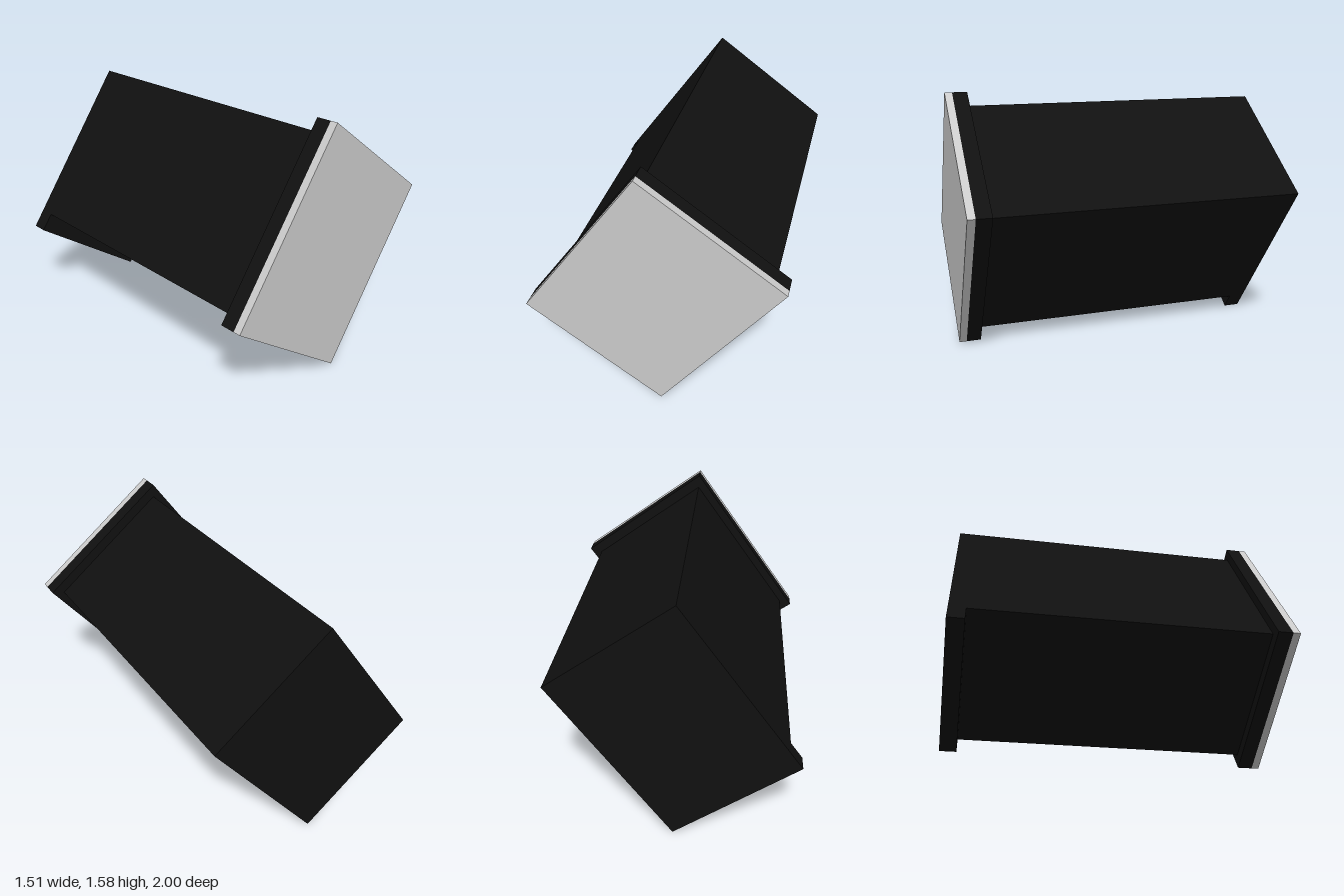
import * as THREE from 'three';

const TILT = -0.62; // the whole box leans on one of its long edges
const grey = new THREE.MeshStandardMaterial({ color: 0xcccccc, flatShading: true });
const black = new THREE.MeshStandardMaterial({ color: 0x101010, flatShading: true });

// Box given by its width and its y and z ranges
function box(name, material, width, y0, y1, z0, z1) {
  const mesh = new THREE.Mesh(new THREE.BoxGeometry(width, y1 - y0, z1 - z0), material);
  mesh.name = name;
  mesh.position.set(0, (y0 + y1) / 2, (z0 + z1) / 2);
  return mesh;
}

export function createModel() {
  const tilted = new THREE.Group();
  tilted.name = 'tiltedBox';
  tilted.add(
    // front plate and the dark bezel behind it
    box('frontPanel', grey, 0.994, -0.605, 0.605, 0.955, 1),
    box('bezel', black, 0.994, -0.605, 0.605, 0.865, 0.955),
    // long housing
    box('housing', black, 0.89, -0.54, 0.54, -1, 0.865),
    // foot strip under the rear edge
    box('rearFoot', black, 0.89, -0.66, -0.54, -1, -0.9),
  );
  tilted.rotation.z = TILT;
  tilted.position.y = 0.798;

  const model = new THREE.Group();
  model.name = 'model';
  model.add(tilted);
  return model;
}
